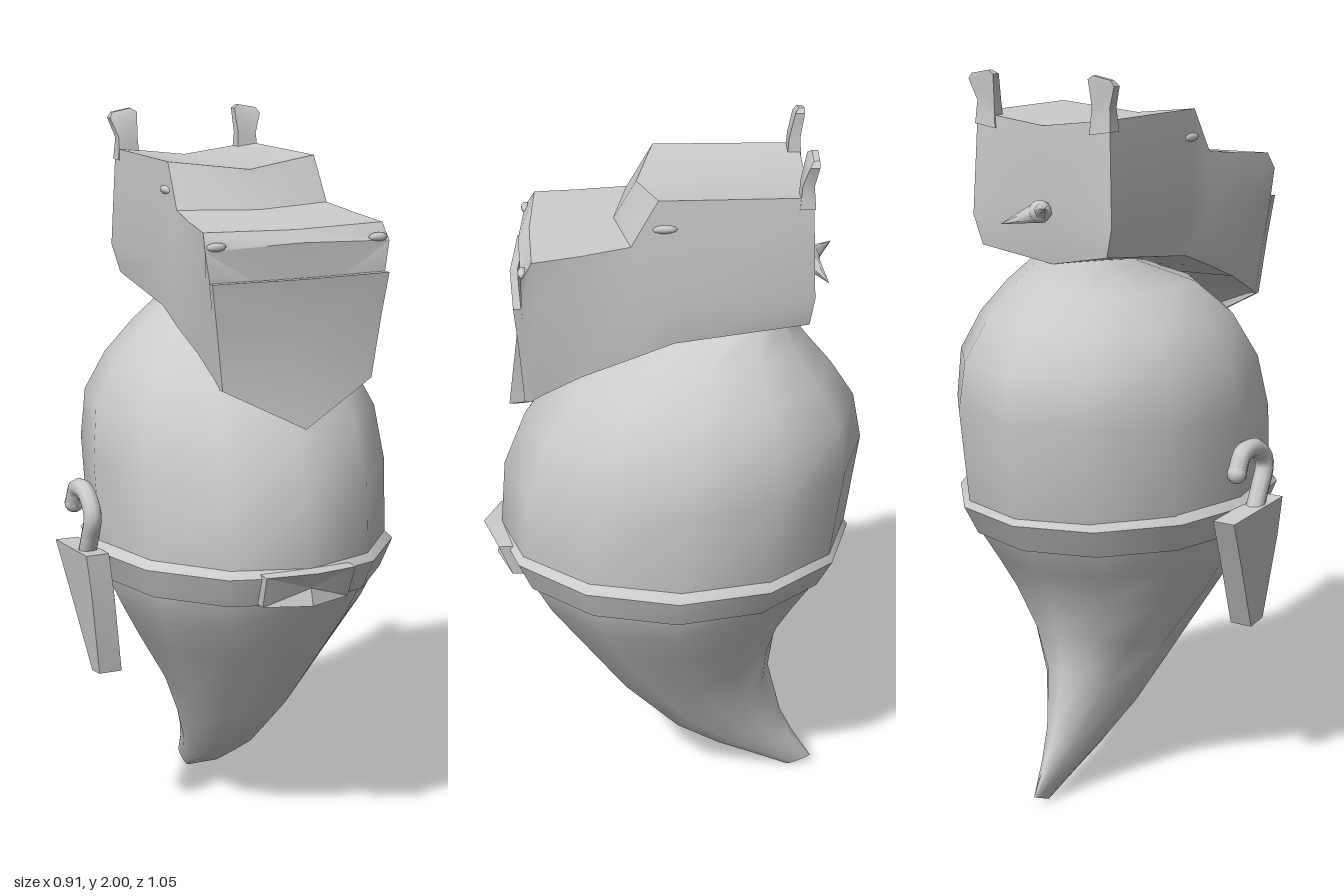
import * as THREE from 'three';
import { toCreasedNormals } from 'three/addons/utils/BufferGeometryUtils.js';

const CX = 0.025; // symmetry plane of the body
const material = new THREE.MeshStandardMaterial({ color: 0xcccccc, side: THREE.DoubleSide });

// Skins a stack of equal-length rings of [x, y, z] points and caps both ends.
function loft(rings, crease) {
  const n = rings[0].length, pos = rings.flat(2), idx = [];
  for (let r = 0; r < rings.length - 1; r++) {
    for (let i = 0; i < n; i++) {
      const a = r * n + i, b = r * n + (i + 1) % n;
      idx.push(a, b, b + n, a, b + n, a + n);
    }
  }
  [0, rings.length - 1].forEach((r) => {
    const centre = pos.length / 3;
    for (let k = 0; k < 3; k++) pos.push(rings[r].reduce((s, p) => s + p[k], 0) / n);
    for (let i = 0; i < n; i++) {
      const a = r * n + i, b = r * n + (i + 1) % n;
      idx.push(centre, ...(r === 0 ? [b, a] : [a, b]));
    }
  });
  // Turn the faces outward if the enclosed volume is negative
  const v = (i) => new THREE.Vector3().fromArray(pos, i * 3);
  let volume = 0;
  for (let i = 0; i < idx.length; i += 3) {
    volume += v(idx[i]).dot(v(idx[i + 1]).cross(v(idx[i + 2])));
  }
  if (volume < 0) idx.reverse();
  const geo = new THREE.BufferGeometry();
  geo.setAttribute('position', new THREE.Float32BufferAttribute(pos, 3));
  geo.setIndex(idx);
  geo.computeVertexNormals();
  return crease ? toCreasedNormals(geo, crease) : geo;
}

// Tilted oval ring: front point, back point and half width
function oval([zf, yf, zb, yb, w]) {
  return Array.from({ length: 12 }, (_, i) => {
    const a = (i / 12) * Math.PI * 2, t = (1 + Math.cos(a)) / 2;
    return [CX + Math.sin(a) * w, yb + (yf - yb) * t, zb + (zf - zb) * t];
  });
}

// Symmetric head section: top centre, three side points, bottom centre
function section([topC, ...rest]) {
  const botC = rest.pop();
  const side = (s) => rest.map(([w, y, z]) => [CX + s * w, y, z]);
  return [[CX, ...topC], ...side(1), [CX, ...botC], ...side(-1).reverse()];
}

export function createModel() {
  const group = new THREE.Group();
  const add = (name, geo) => {
    const mesh = new THREE.Mesh(geo, material);
    mesh.name = name;
    group.add(mesh);
    return mesh;
  };

  // Round torso tapering into a curled tail
  add('body', loft([
    [-0.35, 0.0, -0.42, 0.03, 0.006],
    [-0.24, 0.05, -0.365, 0.12, 0.035],
    [-0.13, 0.1, -0.325, 0.2, 0.065],
    [0, 0.18, -0.285, 0.36, 0.12],
    [0.165, 0.35, -0.3, 0.47, 0.19],
    [0.31, 0.56, -0.335, 0.58, 0.29],
    [0.39, 0.67, -0.39, 0.67, 0.345],
    [0.44, 0.76, -0.445, 0.75, 0.385],
    [0.475, 0.86, -0.49, 0.85, 0.405],
    [0.46, 1.05, -0.525, 1.11, 0.41],
    [0.4, 1.2, -0.5, 1.24, 0.395],
    [0.31, 1.33, -0.435, 1.34, 0.335],
    [0.19, 1.42, -0.36, 1.43, 0.25],
    [-0.02, 1.49, -0.31, 1.5, 0.14],
    [-0.05, 1.54, -0.3, 1.55, 0.12],
  ].map(oval)));

  // Flared belt
  add('belt', loft([
    [0.42, 0.76, -0.43, 0.75, 0.37],
    [0.45, 0.76, -0.455, 0.75, 0.395],
    [0.49, 0.845, -0.5, 0.83, 0.428],
    [0.47, 0.87, -0.48, 0.86, 0.4],
  ].map(oval), 0.6));

  // Bent buckle plate
  const buckleRing = (dz) => [
    [-0.13, 0.855, 0.48], [0, 0.865, 0.525], [0.13, 0.855, 0.48],
    [0.125, 0.765, 0.445], [0, 0.765, 0.49], [-0.125, 0.765, 0.445],
  ].map(([x, y, z]) => [CX + x, y, z + dz]);
  add('buckle', loft([buckleRing(-0.05), buckleRing(0)], 0.3));

  // Boxy head with a stepped brow and long muzzle
  add('head', loft([
    [[1.865, -0.35], [0.21, 1.89, -0.35], [0.222, 1.62, -0.36], [0.2, 1.54, -0.35], [1.5, -0.31]],
    [[1.865, 0.09], [0.215, 1.89, 0.04], [0.225, 1.62, 0], [0.215, 1.5, 0], [1.46, 0]],
    [[1.765, 0.15], [0.22, 1.77, 0.11], [0.23, 1.62, 0.11], [0.22, 1.46, 0.11], [1.43, 0.11]],
    [[1.755, 0.25], [0.24, 1.755, 0.24], [0.24, 1.62, 0.25], [0.217, 1.41, 0.24], [1.42, 0.25]],
    [[1.74, 0.37], [0.255, 1.745, 0.36], [0.25, 1.62, 0.36], [0.215, 1.36, 0.34], [1.33, 0.37]],
    [[1.71, 0.4], [0.262, 1.7, 0.388], [0.25, 1.62, 0.39], [0.215, 1.34, 0.375], [1.25, 0.425]],
  ].map(section), 0.55));

  // Pointed chin plate
  const chinRing = (dz) => section([
    [1.62, 0.425], [0.252, 1.62, 0.41], [0.235, 1.5, 0.4], [0.215, 1.34, 0.39], [1.23, 0.44],
  ]).map(([x, y, z]) => [x, y, z + dz]);
  add('chinPlate', loft([chinRing(-0.02), chinRing(0)], 0.5));

  // Paired ears, eyes and nostrils
  for (const s of [1, -1]) {
    const side = s > 0 ? 'left' : 'right';
    const earRing = ([inner, outer, yIn, yOut, zb, zf]) => [
      [CX + s * inner, yIn, zb], [CX + s * outer, yOut, zb],
      [CX + s * outer, yOut, zf], [CX + s * inner, yIn, zf],
    ];
    add(side + 'Ear', loft([
      [0.15, 0.215, 1.85, 1.86, -0.355, -0.315],
      [0.155, 0.21, 1.92, 1.92, -0.35, -0.32],
      [0.15, 0.23, 1.99, 1.975, -0.36, -0.335],
      [0.165, 0.22, 2.0, 1.99, -0.36, -0.345],
    ].map(earRing), 0.6));

    const eye = add(side + 'Eye', new THREE.SphereGeometry(1, 10, 6));
    eye.scale.set(0.012, 0.012, 0.035);
    eye.position.set(CX + s * 0.214, 1.815, 0.025);

    const nostril = add(side + 'Nostril', new THREE.SphereGeometry(1, 10, 6));
    nostril.scale.set(0.028, 0.012, 0.012);
    nostril.position.set(CX + s * 0.23, 1.71, 0.385);
  }

  // Knot with two loose ends on the back of the head
  const knot = add('knot', new THREE.SphereGeometry(0.03, 10, 8));
  knot.position.set(CX, 1.645, -0.365);
  for (const [x, y, z] of [[-0.04, 1.665, -0.43], [0.12, 1.61, -0.41]]) {
    const base = new THREE.Vector3(CX, 1.645, -0.36);
    const dir = new THREE.Vector3(x, y, z).sub(base);
    const end = add('knotEnd', new THREE.ConeGeometry(0.03, dir.length(), 6));
    end.position.copy(base).addScaledVector(dir, 0.5);
    end.quaternion.setFromUnitVectors(new THREE.Vector3(0, 1, 0), dir.normalize());
  }

  // Tapered holster leaning with the hip
  const holsterRing = (x0) => [
    [-0.165, 0.83], [0.085, 0.85], [0.085, 0.74], [0.06, 0.5], [0, 0.49], [-0.1, 0.7],
  ].map(([z, y]) => [x0 + (0.85 - y) * 0.12, y, z]);
  add('holster', loft([holsterRing(-0.455), holsterRing(-0.39)], 0.4));

  // Hooked grip standing in the holster
  const path = [[-0.1, 0.95], [-0.07, 1.0], [0, 1.0], [0.045, 0.95], [0.02, 0.88], [-0.02, 0.8]];
  const curve = new THREE.CatmullRomCurve3(path.map(([z, y]) => new THREE.Vector3(-0.42, y, z)));
  add('grip', new THREE.TubeGeometry(curve, 20, 0.026, 8));
  add('gripTip', new THREE.SphereGeometry(0.027, 10, 8)).position.set(-0.42, 0.95, -0.1);

  return group;
}
